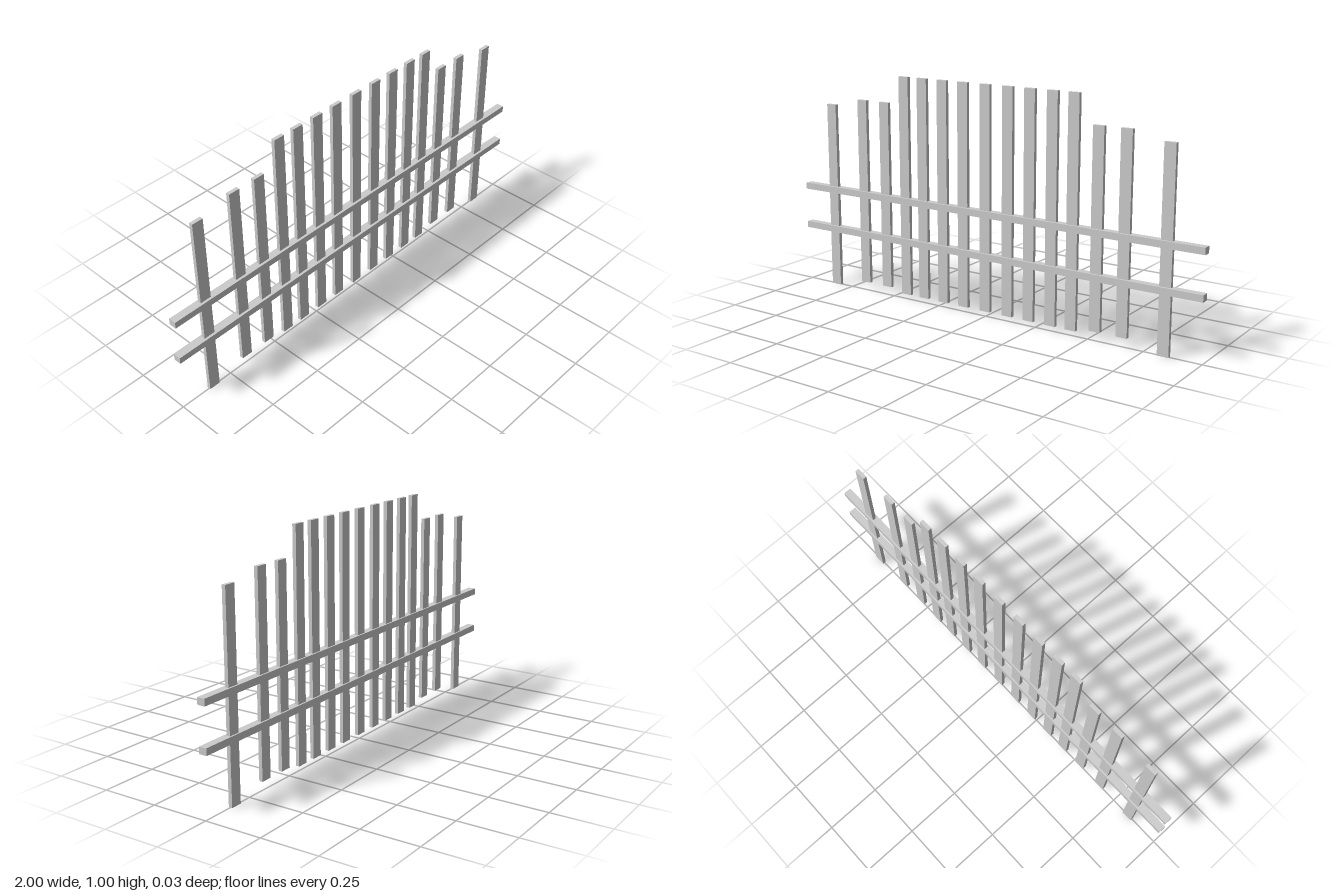
import * as THREE from 'three';

export function createModel() {
  const fence = new THREE.Group();
  fence.name = 'fence';
  const material = new THREE.MeshStandardMaterial({ color: 0xcccccc, flatShading: true });

  // Box spanning bottom..top, centred on x and z
  function board(name, x, bottom, top, width, depth, z) {
    const mesh = new THREE.Mesh(new THREE.BoxGeometry(width, top - bottom, depth), material);
    mesh.position.set(x, (bottom + top) / 2, z);
    mesh.name = name;
    fence.add(mesh);
  }

  // Upright boards: outer posts, shorter pickets, tall middle pickets
  const uprights = [
    { name: 'endPost', bottom: 0, top: 0.846, xs: [-0.84, 0.837] },
    { name: 'shortPicket', bottom: 0.04, top: 0.88, xs: [-0.66, -0.536, 0.533, 0.655] },
    {
      name: 'tallPicket', bottom: 0.023, top: 1,
      xs: [-0.425, -0.327, -0.221, -0.114, -0.001, 0.111, 0.217, 0.323, 0.421],
    },
  ];
  for (const { name, bottom, top, xs } of uprights) {
    xs.forEach((x, i) => board(name + (i + 1), x, bottom, top, 0.05, 0.016, -0.001));
  }

  // Horizontal rails passing through the uprights
  board('lowerRail', 0, 0.253, 0.282, 2, 0.034, 0.001);
  board('upperRail', 0, 0.438, 0.467, 2, 0.034, 0.001);

  return fence;
}
